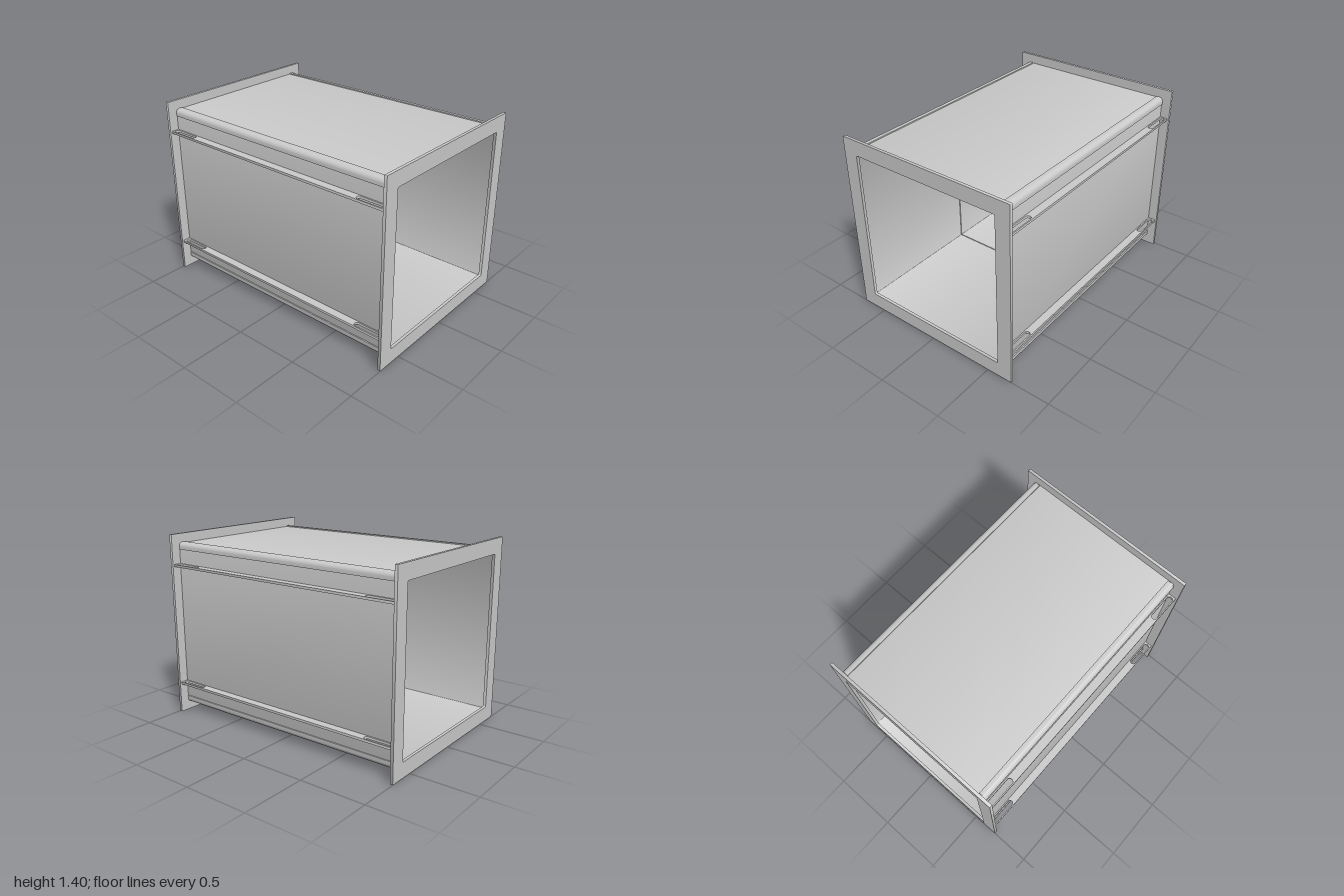
import * as THREE from 'three';
import { toCreasedNormals } from 'three/addons/utils/BufferGeometryUtils.js';

const CY = 0.699; // height of the duct axis
const material = new THREE.MeshStandardMaterial({ color: 0xcccccc });

// Rounded rectangle traced into a Shape or Path
function roundedRect(target, x0, y0, x1, y1, r) {
  target.moveTo(x0 + r, y0);
  target.lineTo(x1 - r, y0);
  target.absarc(x1 - r, y0 + r, r, -Math.PI / 2, 0);
  target.lineTo(x1, y1 - r);
  target.absarc(x1 - r, y1 - r, r, 0, Math.PI / 2);
  target.lineTo(x0 + r, y1);
  target.absarc(x0 + r, y1 - r, r, Math.PI / 2, Math.PI);
  target.lineTo(x0, y0 + r);
  target.absarc(x0 + r, y0 + r, r, Math.PI, Math.PI * 1.5);
  return target;
}

// Extrusion centred on its depth
function extrude(shape, depth) {
  const g = new THREE.ExtrudeGeometry(shape, { depth, bevelEnabled: false, curveSegments: 8 });
  g.translate(0, 0, -depth / 2);
  return toCreasedNormals(g, 0.6);
}

// Square frame with a square opening, given by half sizes
function squareFrame(outer, inner, depth, rOuter, rInner) {
  const shape = roundedRect(new THREE.Shape(), -outer, -outer, outer, outer, rOuter);
  shape.holes.push(roundedRect(new THREE.Path(), -inner, -inner, inner, inner, rInner));
  return extrude(shape, depth);
}

export function createModel() {
  const model = new THREE.Group();
  const add = (name, geometry, x = 0, y = CY, z = 0) => {
    const mesh = new THREE.Mesh(geometry, material);
    mesh.name = name;
    mesh.position.set(x, y, z);
    model.add(mesh);
    return mesh;
  };

  // Square duct and the thin seam around its inside at mid length
  add('ductWalls', squareFrame(0.627, 0.605, 1.96, 0.01, 0.003));
  add('innerSeam', squareFrame(0.61, 0.598, 0.012, 0.003, 0.003));

  // End flanges
  const flange = squareFrame(0.699, 0.586, 0.022, 0.003, 0.01);
  add('frontFlange', flange, 0, CY, 0.989);
  add('backFlange', flange, 0, CY, -0.989);

  // Rounded corner strips along the four long edges
  const a = 0.582, b = 0.636, inner = 0.615, r = 0.035;
  const corner = new THREE.Shape();
  corner.moveTo(a, inner);
  corner.lineTo(inner, inner);
  corner.lineTo(inner, a);
  corner.lineTo(b, a);
  corner.lineTo(b, b - r);
  corner.absarc(b - r, b - r, r, 0, Math.PI / 2);
  corner.lineTo(a, b);
  corner.closePath();
  const cornerGeometry = extrude(corner, 1.94);
  for (let i = 0; i < 4; i++) {
    add('cornerStrip', cornerGeometry).rotation.z = (i * Math.PI) / 2;
  }

  // Side rails: flat plates with a long slot near each end
  const rail = roundedRect(new THREE.Shape(), 0.615, -0.98, 0.686, 0.98, 0.002);
  for (const [z0, z1] of [[-0.965, -0.75], [0.75, 0.965]]) {
    rail.holes.push(roundedRect(new THREE.Path(), 0.636, z0, 0.677, z1, 0.02));
  }
  const railGeometry = extrude(rail, 0.018);
  railGeometry.rotateX(Math.PI / 2);
  for (const y of [0.234, 1.164]) {
    add('leftRail', railGeometry, 0, y);
    add('rightRail', railGeometry, 0, y).rotation.y = Math.PI;
  }

  return model;
}
